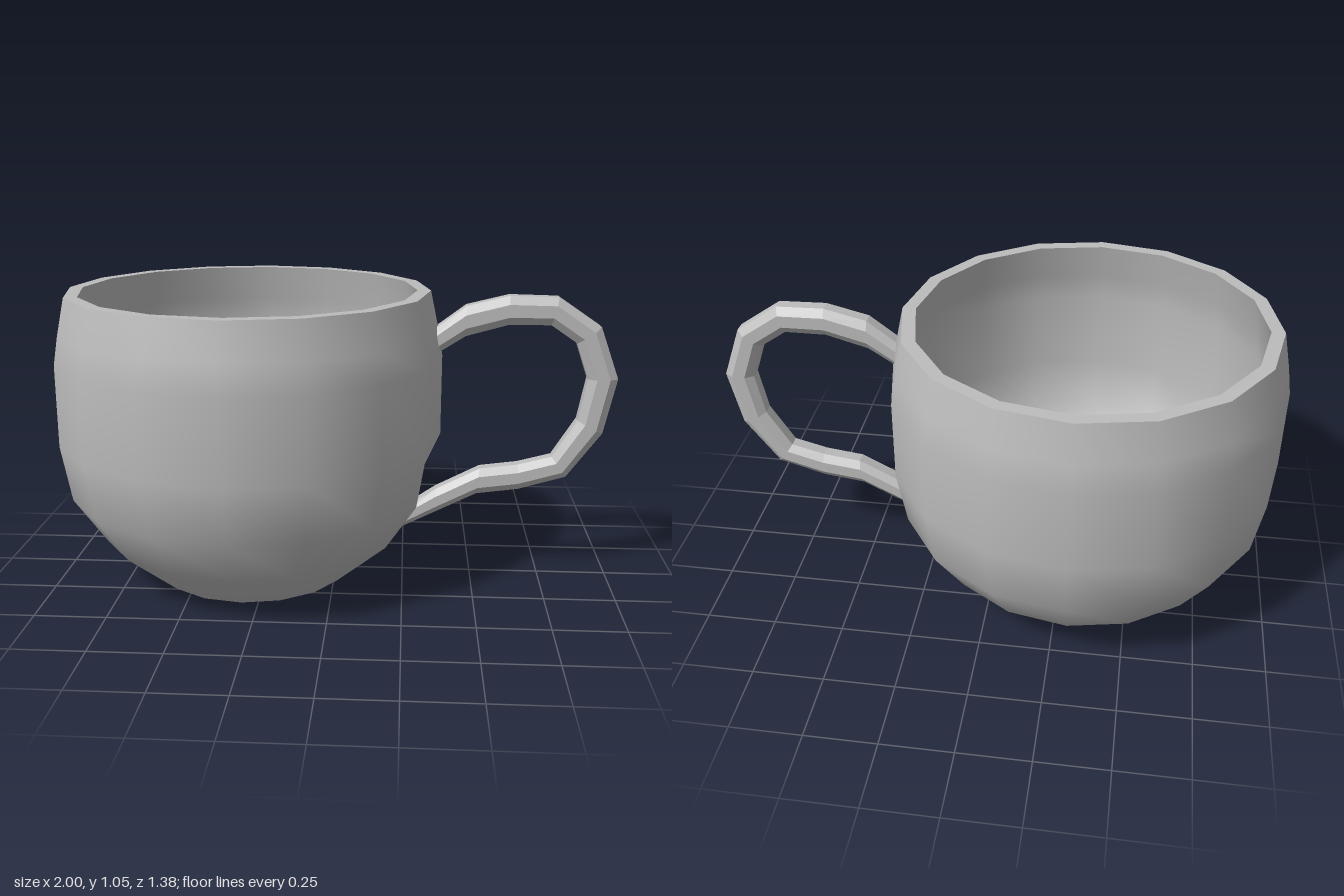
import * as THREE from 'three';
import { mergeVertices } from 'three/addons/utils/BufferGeometryUtils.js';

const SIDES = 16;
const CUP_X = -0.31;

// Turned surface, optionally dented, with normals smoothed across the seam
function turned(profile, dent) {
  let geo = new THREE.LatheGeometry(profile.map(([r, y]) => new THREE.Vector2(r, y)), SIDES);
  if (dent) dent(geo.attributes.position);
  geo.deleteAttribute('normal');
  geo.deleteAttribute('uv');
  geo = mergeVertices(geo, 1e-4);
  geo.computeVertexNormals();
  return geo;
}

// Octagonal bar lofted between an outer and an inner rail in the xy plane
function handleGeometry(outer, inner) {
  const section = [[0, 0.022], [0.28, 0.043], [0.72, 0.043], [1, 0.022],
    [1, -0.022], [0.72, -0.043], [0.28, -0.043], [0, -0.022]];
  const n = section.length;
  const pos = [];
  const index = [];
  outer.forEach(([ox, oy], i) => {
    const [ix, iy] = inner[i];
    for (const [t, z] of section) pos.push(ox + (ix - ox) * t, oy + (iy - oy) * t, z);
  });
  for (let i = 0; i < outer.length - 1; i++) {
    for (let j = 0; j < n; j++) {
      const a = i * n + j, b = i * n + (j + 1) % n;
      index.push(a, b, a + n, b, b + n, a + n);
    }
  }
  // End caps
  const last = (outer.length - 1) * n;
  for (let j = 1; j < n - 1; j++) {
    index.push(0, j + 1, j, last, last + j, last + j + 1);
  }
  const geo = new THREE.BufferGeometry();
  geo.setAttribute('position', new THREE.Float32BufferAttribute(pos, 3));
  geo.setIndex(index);
  const flat = geo.toNonIndexed();
  flat.computeVertexNormals();
  return flat;
}

export function createModel() {
  const model = new THREE.Group();
  model.name = 'cup';
  const ceramic = new THREE.MeshStandardMaterial({ color: 0xbcbcbc, side: THREE.DoubleSide });
  ceramic.name = 'grey ceramic';

  const add = (name, geo, x = 0) => {
    const mesh = new THREE.Mesh(geo, ceramic);
    mesh.name = name;
    mesh.position.x = x;
    model.add(mesh);
  };

  // Outer wall, slightly pulled in where the handle's lower end lands
  const outerWall = [[0.35, 0], [0.54, 0.16], [0.655, 0.33], [0.69, 0.53],
    [0.69, 0.82], [0.673, 0.92], [0.645, 1.05]];
  add('outerWall', turned(outerWall, (p) => {
    for (let i = 0; i < p.count; i++) {
      if (p.getX(i) > 0.5 && Math.abs(p.getZ(i)) < 0.01) {
        if (Math.abs(p.getY(i) - 0.33) < 0.01) p.setX(i, 0.6);
        if (Math.abs(p.getY(i) - 0.16) < 0.01) p.setX(i, 0.515);
      }
    }
  }), CUP_X);

  // Inner wall, rim and the two flat discs are separate so their edges stay sharp
  add('innerWall', turned([[0.598, 1.05], [0.627, 0.92], [0.643, 0.82], [0.643, 0.53],
    [0.608, 0.35], [0.5, 0.19], [0.327, 0.05]]), CUP_X);
  add('rim', turned([[0.645, 1.05], [0.598, 1.05]]), CUP_X);
  add('innerFloor', turned([[0.327, 0.05], [0, 0.05]]), CUP_X);
  add('base', turned([[0, 0], [0.35, 0]]), CUP_X);

  // Handle
  add('handle', handleGeometry(
    [[0.34, 0.91], [0.46, 1.0], [0.61, 1.037], [0.78, 1.033], [0.932, 0.93], [1.0, 0.745],
      [0.957, 0.545], [0.835, 0.38], [0.665, 0.33], [0.515, 0.31], [0.35, 0.227], [0.215, 0.16]],
    [[0.345, 0.82], [0.46, 0.893], [0.61, 0.935], [0.757, 0.935], [0.85, 0.872], [0.895, 0.743],
      [0.867, 0.592], [0.782, 0.455], [0.662, 0.423], [0.525, 0.405], [0.37, 0.325], [0.25, 0.245]],
  ));

  return model;
}
